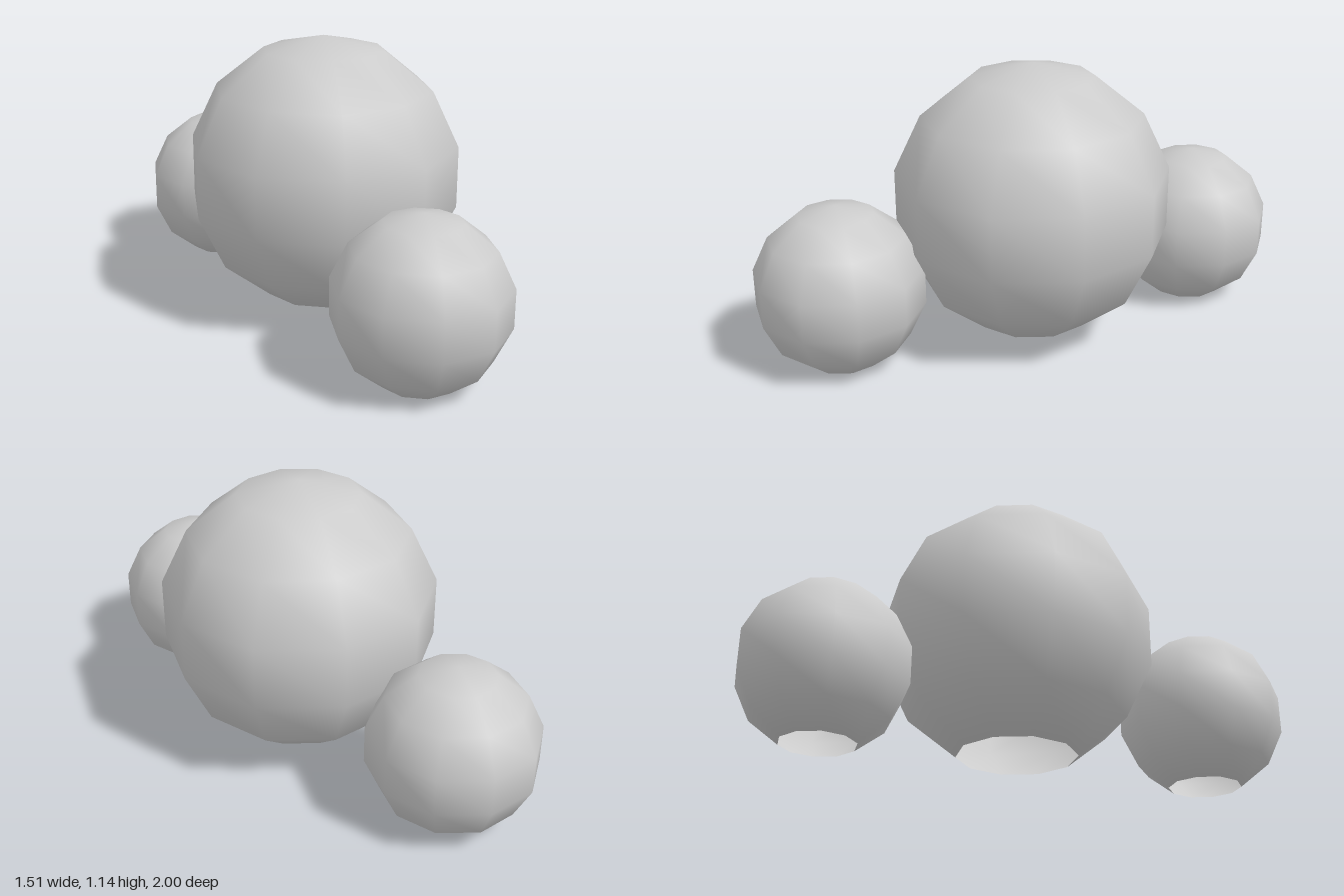
import * as THREE from 'three';

const BANDS = 7; // latitude bands of a full ball; the lowest one is left open
const SIDES = 10;

export function createModel() {
  const group = new THREE.Group();
  const material = new THREE.MeshStandardMaterial({ color: 0xcccccc, side: THREE.DoubleSide });

  // Smooth ten-sided ball, open at its flat underside
  function addBall(name, radius, x, y, z) {
    const geometry = new THREE.SphereGeometry(
      radius, SIDES, BANDS - 1, 0, Math.PI * 2, 0, Math.PI * (BANDS - 1) / BANDS);
    const ball = new THREE.Mesh(geometry, material);
    ball.name = name;
    ball.position.set(x, y, z);
    ball.rotation.y = THREE.MathUtils.degToRad(-8);
    group.add(ball);
  }

  // Large middle ball, raised slightly off the ground
  addBall('largeBall', 0.565, 0.06, 0.574, -0.035);

  // Two small balls on opposite corners
  for (const s of [1, -1]) {
    addBall(s > 0 ? 'frontSmallBall' : 'backSmallBall', 0.342, s * 0.427, 0.308, s * 0.672);
  }

  return group;
}
